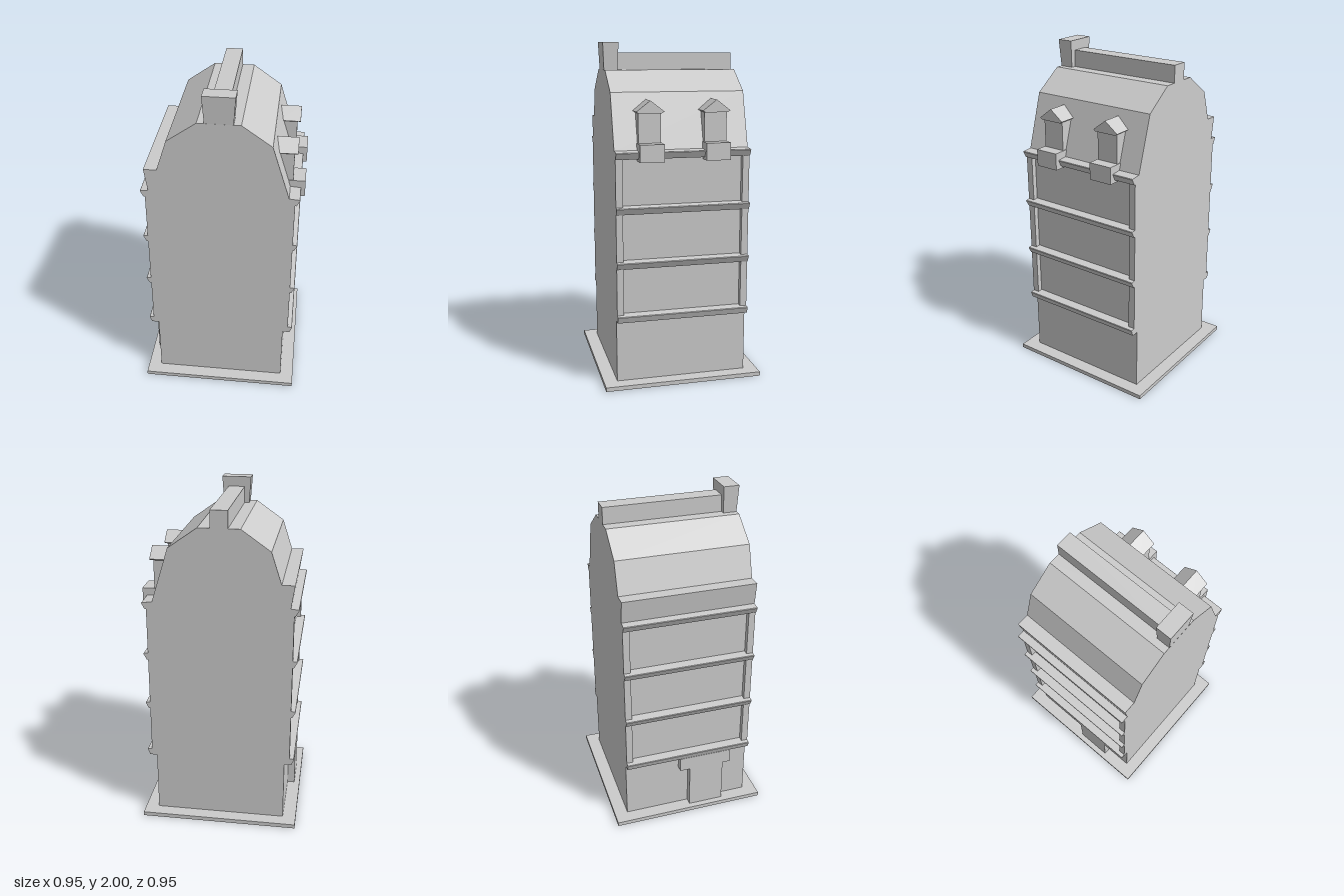
import * as THREE from 'three';

const D = 0.395; // half depth and half width of the house

export function createModel() {
  const house = new THREE.Group();
  house.name = 'townHouse';
  const material = new THREE.MeshStandardMaterial({ color: 0xcccccc, flatShading: true });

  const add = (name, geometry, parent = house) => {
    const mesh = new THREE.Mesh(geometry, material);
    mesh.name = name;
    parent.add(mesh);
    return mesh;
  };
  const shapeOf = (points) => new THREE.Shape(points.map(([x, y]) => new THREE.Vector2(x, y)));
  // Outline in x/y, extruded from z0 to z1
  const prism = (points, z0, z1) =>
    new THREE.ExtrudeGeometry(shapeOf(points), { depth: z1 - z0, bevelEnabled: false }).translate(0, 0, z0);
  // Box given by its limits
  const block = (x0, x1, y0, y1, z0, z1) =>
    new THREE.BoxGeometry(x1 - x0, y1 - y0, z1 - z0).translate((x0 + x1) / 2, (y0 + y1) / 2, (z0 + z1) / 2);

  // Base: a thin pavement frame, open underneath the house
  const B = 0.475, H = 0.385;
  const frame = shapeOf([[-B, -B], [B, -B], [B, B], [-B, B]]);
  frame.holes.push(shapeOf([[-H, -H], [-H, H], [H, H], [H, -H]]));
  add('basePlate', new THREE.ExtrudeGeometry(frame, { depth: 0.025, bevelEnabled: false })
    .rotateX(-Math.PI / 2));

  // Walls and gambrel roof, with a raised eave on one side
  add('wallsAndRoof', prism([
    [-D, 0.02], [D, 0.02], [D, 1.4], [0.39, 1.4], [0.29, 1.72], [0.12, 1.84],
    [-0.12, 1.84], [-0.29, 1.72], [-0.35, 1.535], [-0.425, 1.535], [-0.405, 1.4], [-D, 1.4],
  ], -D, D));

  // Cornices on both long sides, with corner pilasters between them
  const cornices = [0.4, 0.72, 1.04, 1.355];
  for (const s of [1, -1]) {
    cornices.forEach((y, i) => {
      const low = i === 0 ? 0.438 : 0.433;
      add('cornice', prism([
        [s * D, y], [s * low, y], [s * 0.452, y + 0.036], [s * 0.45, y + 0.04], [s * D, y + 0.045],
      ], -D, D));
      if (i === cornices.length - 1) return;
      for (const z of [-0.375, 0.375]) {
        const [x0, x1] = s > 0 ? [D, 0.425] : [-0.425, -D];
        add('cornerPilaster', block(x0, x1, y + 0.04, cornices[i + 1], z - 0.02, z + 0.02));
      }
    });
  }

  // Entrance with a wider lintel
  add('door', block(-0.44, -D, 0.02, 0.31, 0.008, 0.227));
  add('doorLintel', block(-0.44, -D, 0.31, 0.4, -0.055, 0.274));

  // Ridge beam and flared chimney
  add('ridge', block(-0.05, 0.05, 1.83, 1.94, -D, 0.33));
  const chimney = new THREE.BoxGeometry(0.18, 0.17, 0.094);
  const p = chimney.attributes.position;
  for (let i = 0; i < p.count; i++) {
    if (p.getY(i) < 0) p.setXYZ(i, p.getX(i) * 0.87, p.getY(i), p.getZ(i) * 0.85);
  }
  chimney.computeVertexNormals();
  add('chimney', chimney).position.set(0, 1.915, 0.354);

  // Dormers with gabled caps and a box below each
  for (const z of [0.193, -0.193]) {
    const dormer = new THREE.Group();
    dormer.name = 'dormer';
    dormer.position.z = z;
    house.add(dormer);
    add('dormerBody', block(0.31, 0.405, 1.4, 1.615, -0.066, 0.066), dormer);
    add('dormerBox', block(0.38, 0.475, 1.34, 1.44, -0.071, 0.071), dormer);
    const cap = prism([[-0.066, 1.608], [0.066, 1.608], [0.081, 1.618], [0, 1.68], [-0.081, 1.618]], 0.3, 0.425);
    add('dormerRoof', cap.rotateY(Math.PI / 2), dormer);
  }
  return house;
}
